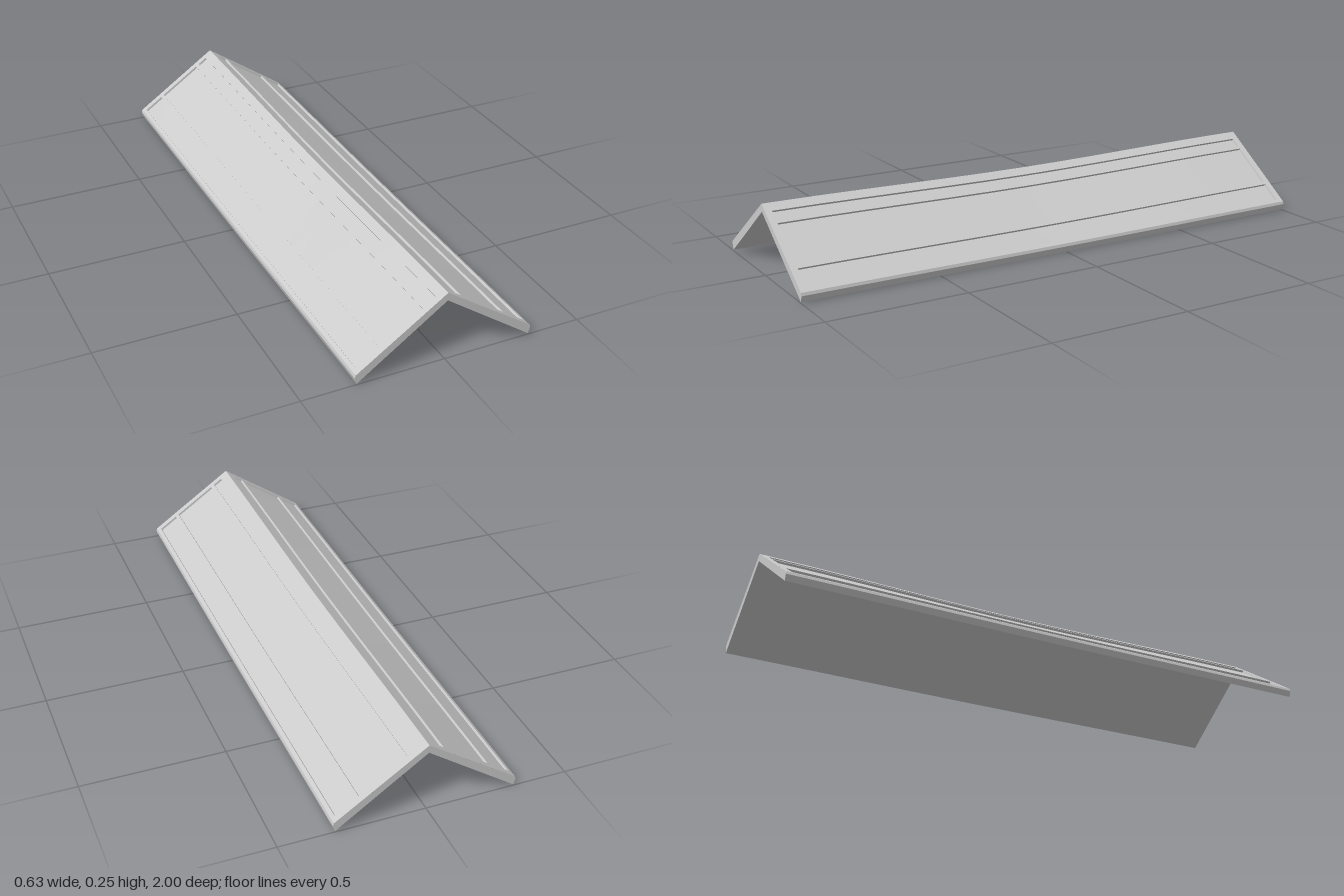
import * as THREE from 'three';
import { toCreasedNormals } from 'three/addons/utils/BufferGeometryUtils.js';

const RECESS = 0.008;
// panel extents across one slope, measured outward from the ridge
const PANELS = [[0.03, 0.062], [0.075, 0.223], [0.235, 0.302]];

// One half of the cross-section, from ridge to underside of the eave; depth sinks the panels
function halfProfile(depth) {
  const top = (x, d) => [x - 0.56 * d, 0.25 - 0.683 * x - 0.83 * d];
  const pts = [];
  for (const [a, b] of PANELS) pts.push(top(a, 0), top(a, depth), top(b, depth), top(b, 0));
  pts.push(top(0.314, 0), [0.317, 0.025], [0.31, 0.003]);
  return pts;
}

// Full counter-clockwise outline: ridge, left-hand slope, inner ridge, mirrored slope
function profile(depth) {
  const half = halfProfile(depth);
  const mirrored = half.map(([x, y]) => [-x, y]);
  return [[0, 0.25], ...mirrored, [0, 0.222], ...half.reverse()];
}

// The ridge sags towards the middle of its length, the eaves hardly at all
function place([x, y], z) {
  const sag = (0.003 + 0.01 * (1 - Math.abs(x) / 0.317)) * Math.cos(z * Math.PI / 2) ** 2;
  return new THREE.Vector3(x, y - sag, z);
}

function roofGeometry() {
  const stations = [[1, 0], [0.976, 0]];
  const steps = 12;
  for (let i = 0; i <= steps; i++) stations.push([0.975 - 1.95 * i / steps, RECESS]);
  stations.push([-0.976, 0], [-1, 0]);
  const rings = stations.map(([z, depth]) => profile(depth).map(p => place(p, z)));

  const positions = [];
  const tri = new THREE.Triangle();
  const addFace = (a, b, c) => {
    if (tri.set(a, b, c).getArea() < 1e-9) return;
    for (const v of [a, b, c]) positions.push(v.x, v.y, v.z);
  };

  // skin between neighbouring sections
  for (let k = 0; k < rings.length - 1; k++) {
    const a = rings[k], b = rings[k + 1];
    for (let j = 0; j < a.length; j++) {
      const n = (j + 1) % a.length;
      addFace(a[j], b[j], a[n]);
      addFace(a[n], b[j], b[n]);
    }
  }

  // gable end faces
  const outline = [[0, 0.25], [-0.314, 0.0355], [-0.317, 0.025], [-0.31, 0.003],
    [0, 0.222], [0.31, 0.003], [0.317, 0.025], [0.314, 0.0355]];
  const faces = THREE.ShapeUtils.triangulateShape(outline.map(p => new THREE.Vector2(...p)), []);
  for (const [i, j, k] of faces) {
    addFace(place(outline[i], 1), place(outline[j], 1), place(outline[k], 1));
    addFace(place(outline[k], -1), place(outline[j], -1), place(outline[i], -1));
  }

  const geometry = new THREE.BufferGeometry();
  geometry.setAttribute('position', new THREE.Float32BufferAttribute(positions, 3));
  return toCreasedNormals(geometry, 0.4);
}

export function createModel() {
  const group = new THREE.Group();
  group.name = 'gableRoof';
  const roof = new THREE.Mesh(roofGeometry(), new THREE.MeshStandardMaterial({ color: 0xcccccc }));
  roof.name = 'panelledRoof';
  group.add(roof);
  return group;
}
